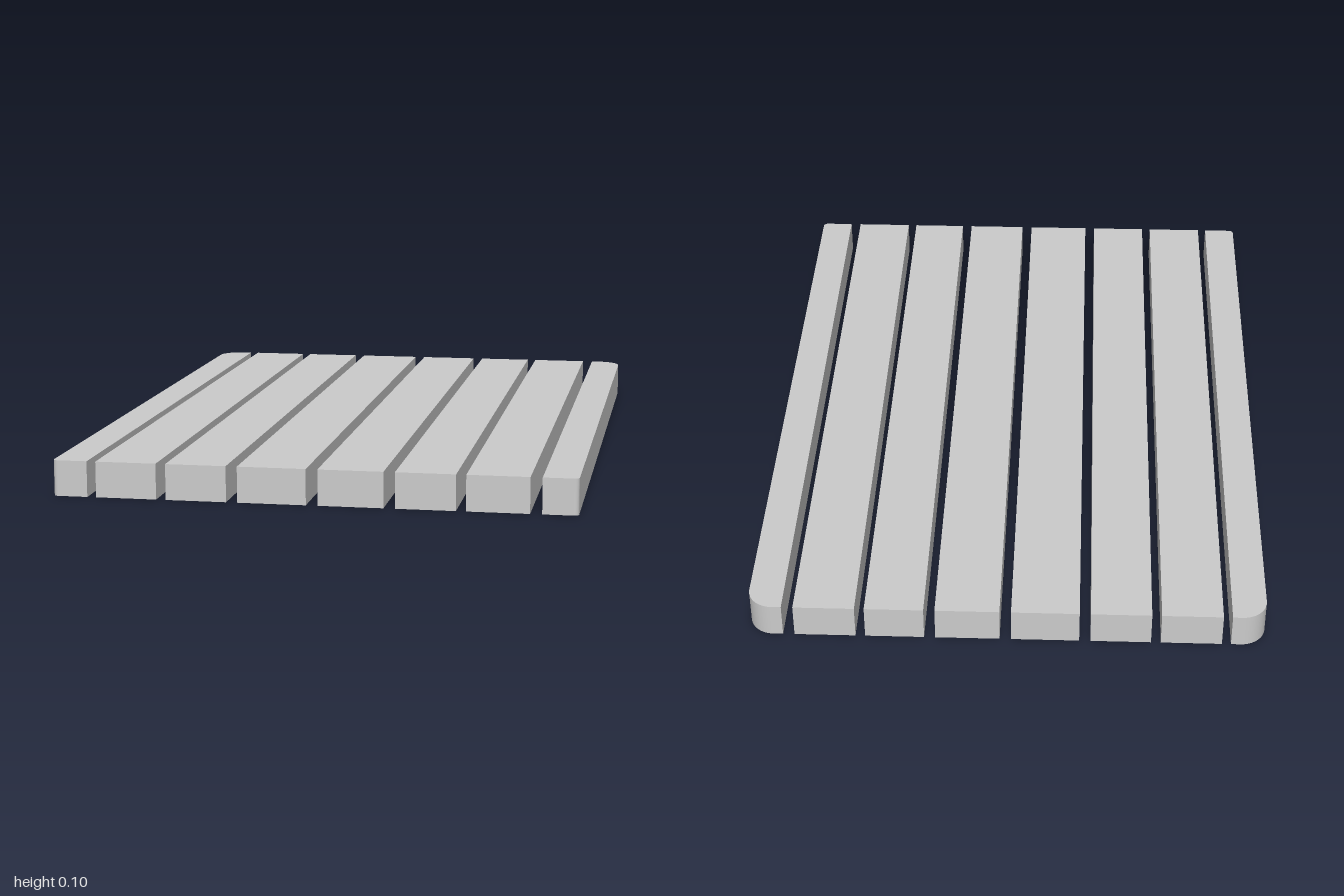
import * as THREE from 'three';

const HEIGHT = 0.1;
const HALF_LENGTH = 1;

export function createModel() {
  const group = new THREE.Group();
  group.name = 'slattedPanel';
  const material = new THREE.MeshStandardMaterial({ color: 0xcccccc });

  const add = (geometry, name) => {
    const mesh = new THREE.Mesh(geometry, material);
    mesh.name = name;
    group.add(mesh);
    return mesh;
  };

  // Straight inner slats: left and right edge along x
  const inner = [
    [-0.6, -0.43], [-0.403, -0.234], [-0.203, -0.013],
    [0.019, 0.199], [0.23, 0.395], [0.422, 0.593],
  ];
  inner.forEach(([x0, x1], i) => {
    const slat = add(new THREE.BoxGeometry(x1 - x0, HEIGHT, 2 * HALF_LENGTH), `innerSlat${i + 1}`);
    slat.position.set((x0 + x1) / 2, HEIGHT / 2, 0);
  });

  // Edge slats: large rounding at the back outer corner, slight one at the front.
  // The plan is drawn in (x, -z) and extruded upwards.
  const edgeSlat = (side, name) => {
    const a = 0.625, b = 0.722, back = 0.07, front = 0.014, L = HALF_LENGTH;
    const s = new THREE.Shape();
    s.moveTo(side * a, -L);
    s.lineTo(side * (b - front), -L);
    s.absarc(side * (b - front), -L + front, front, -Math.PI / 2, side > 0 ? 0 : -Math.PI, side < 0);
    s.lineTo(side * b, L - back);
    s.absarc(side * (b - back), L - back, back, side > 0 ? 0 : Math.PI, Math.PI / 2, side < 0);
    s.lineTo(side * a, L);
    s.closePath();
    const geometry = new THREE.ExtrudeGeometry(s, { depth: HEIGHT, bevelEnabled: false, curveSegments: 12 });
    geometry.rotateX(-Math.PI / 2);
    add(geometry, name);
  };
  edgeSlat(1, 'leftEdgeSlat');
  edgeSlat(-1, 'rightEdgeSlat');

  return group;
}
